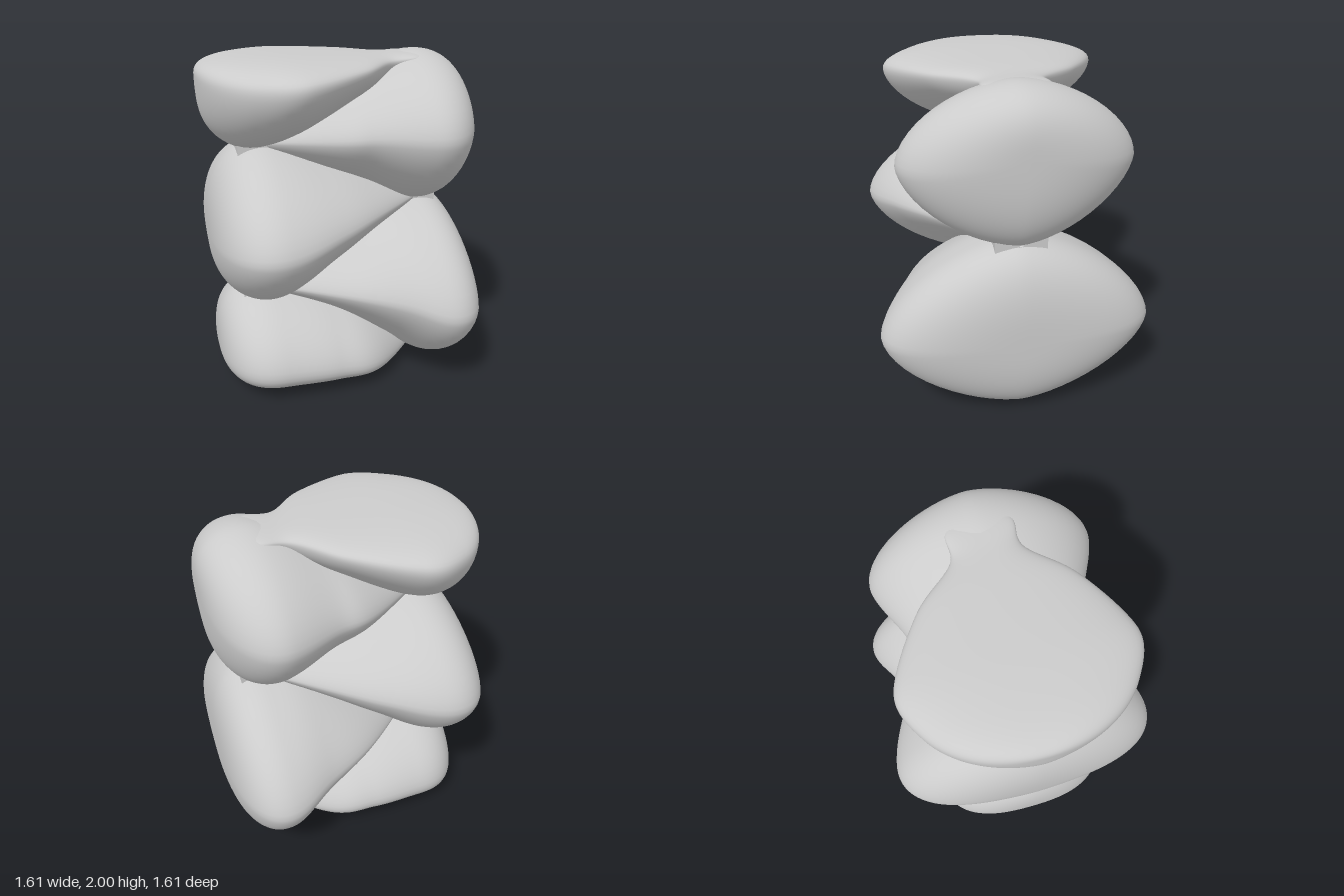
import * as THREE from 'three';

const material = new THREE.MeshStandardMaterial({ color: 0xcccccc });
const RINGS = 80, SIDES = 56;

// Every lobe grows from a thin tip [x, y] through body sections [x, bottom y, top y, half depth]
// and closes in a bulging end [x, y]. cap = [x where the bulge starts, its squareness in height,
// in depth], widest = height fraction of the widest point, low / high = squareness of the
// section below / above it.
const lobes = [
  {
    name: 'bottomLeftLobe', tip: [0.64, 0.07], end: [-0.77, 0.2], cap: [-0.4, 2.8, 2.6],
    body: [[0.2, 0.005, 0.4, 0.47], [-0.1, 0, 0.53, 0.56], [-0.42, 0, 0.59, 0.57]],
    widest: 0.32, low: 2.3, high: 1.7,
  },
  {
    name: 'lowerRightLobe', tip: [-0.6, 0.57], end: [0.8, 0.54], cap: [0.45, 3, 3.2],
    body: [[-0.1, 0.42, 0.87, 0.48], [0.25, 0.19, 1.06, 0.68], [0.5, 0.02, 1.11, 0.8]],
    widest: 0.48, low: 1.6, high: 1.58,
  },
  {
    name: 'middleLeftLobe', tip: [0.64, 1.09], end: [-0.79, 0.95], cap: [-0.4, 2.6, 3],
    body: [[0.2, 0.91, 1.29, 0.42], [-0.1, 0.73, 1.41, 0.64], [-0.42, 0.53, 1.5, 0.78]],
    widest: 0.5, low: 1.6, high: 1.62,
  },
  {
    name: 'upperRightLobe', tip: [-0.62, 1.48], end: [0.79, 1.66], cap: [0.42, 3, 2.4],
    body: [[-0.1, 1.3, 1.76, 0.43], [0.15, 1.2, 1.88, 0.53], [0.45, 1.07, 1.99, 0.655]],
    widest: 0.53, low: 1.62, high: 1.7,
  },
  {
    name: 'topLeftLobe', tip: [0.64, 1.95], end: [-0.81, 1.88], cap: [-0.27, 3, 2.1],
    body: [[0.48, 1.88, 1.98, 0.18], [0.3, 1.8, 1.98, 0.2], [0.08, 1.71, 1.99, 0.43],
      [-0.27, 1.53, 2, 0.635], [-0.55, 1.44, 2, 0.64]],
    widest: 0.74, low: 1.7, high: 2.5,
  },
];

// Signed power used for the superellipse sections
const pow = (v, n) => Math.sign(v) * Math.abs(v) ** (2 / n);

// Smoothly blended rings from the tip outwards, shrunk to a point over the bulging end
function lobeRings({ tip, body, end, cap }) {
  const last = body[body.length - 1];
  const sections = [[tip[0], tip[1], tip[1], 0], ...body, [end[0], ...last.slice(1)]];
  const spline = (pick) => new THREE.CatmullRomCurve3(
    sections.map((s) => new THREE.Vector3(...pick(s))), false, 'catmullrom', 0.5);
  const heights = spline(([x, lo, hi]) => [x, lo, hi]);
  const depths = spline(([x, , , depth]) => [x, depth, 0]);
  const rings = [];
  for (let i = 0; i <= RINGS; i++) {
    // Rings crowd towards the bulging end
    const t = i === RINGS ? 1 : Math.sin((Math.PI / 2) * (i / RINGS));
    const { x, y: lo, z: hi } = heights.getPoint(t);
    const u = THREE.MathUtils.clamp((x - cap[0]) / (end[0] - cap[0]), 0, 1);
    const [tall, deep] = [cap[1], cap[2]].map((n) => (1 - u ** n) ** (1 / n));
    rings.push({
      x,
      lo: THREE.MathUtils.lerp(end[1], lo, tall),
      hi: THREE.MathUtils.lerp(end[1], hi, tall),
      depth: Math.max(0, depths.getPoint(t).y) * deep,
    });
  }
  return rings;
}

// Skins the rings with superellipse sections
function lobeGeometry(lobe) {
  const rings = lobeRings(lobe);
  const towardsLeft = lobe.end[0] > lobe.tip[0];
  const positions = [], index = [];
  rings.forEach(({ x, lo, hi, depth }, i) => {
    const mid = lo + (hi - lo) * lobe.widest;
    for (let j = 0; j < SIDES; j++) {
      const a = (j / SIDES) * Math.PI * 2;
      const up = Math.sin(a) >= 0;
      const n = up ? lobe.high : lobe.low;
      positions.push(
        x,
        mid + pow(Math.sin(a), n) * (up ? hi - mid : mid - lo),
        pow(Math.cos(a), n) * depth,
      );
      if (i === RINGS) continue;
      const p = i * SIDES + j, q = i * SIDES + ((j + 1) % SIDES);
      const r = p + SIDES, s = q + SIDES;
      if (towardsLeft) index.push(p, r, q, q, r, s);
      else index.push(p, q, r, q, s, r);
    }
  });
  const geometry = new THREE.BufferGeometry();
  geometry.setAttribute('position', new THREE.Float32BufferAttribute(positions, 3));
  geometry.setIndex(index);
  geometry.computeVertexNormals();
  return geometry;
}

export function createModel() {
  const model = new THREE.Group();
  model.name = 'zigzagLobeStack';
  for (const lobe of lobes) {
    const mesh = new THREE.Mesh(lobeGeometry(lobe), material);
    mesh.name = lobe.name;
    model.add(mesh);
  }

  // Narrow core that closes the bottoms of the creases
  const core = new THREE.Mesh(new THREE.BoxGeometry(1.23, 1.65, 0.3), material);
  core.name = 'core';
  core.position.set(0.01, 1.02, 0);
  model.add(core);
  return model;
}
